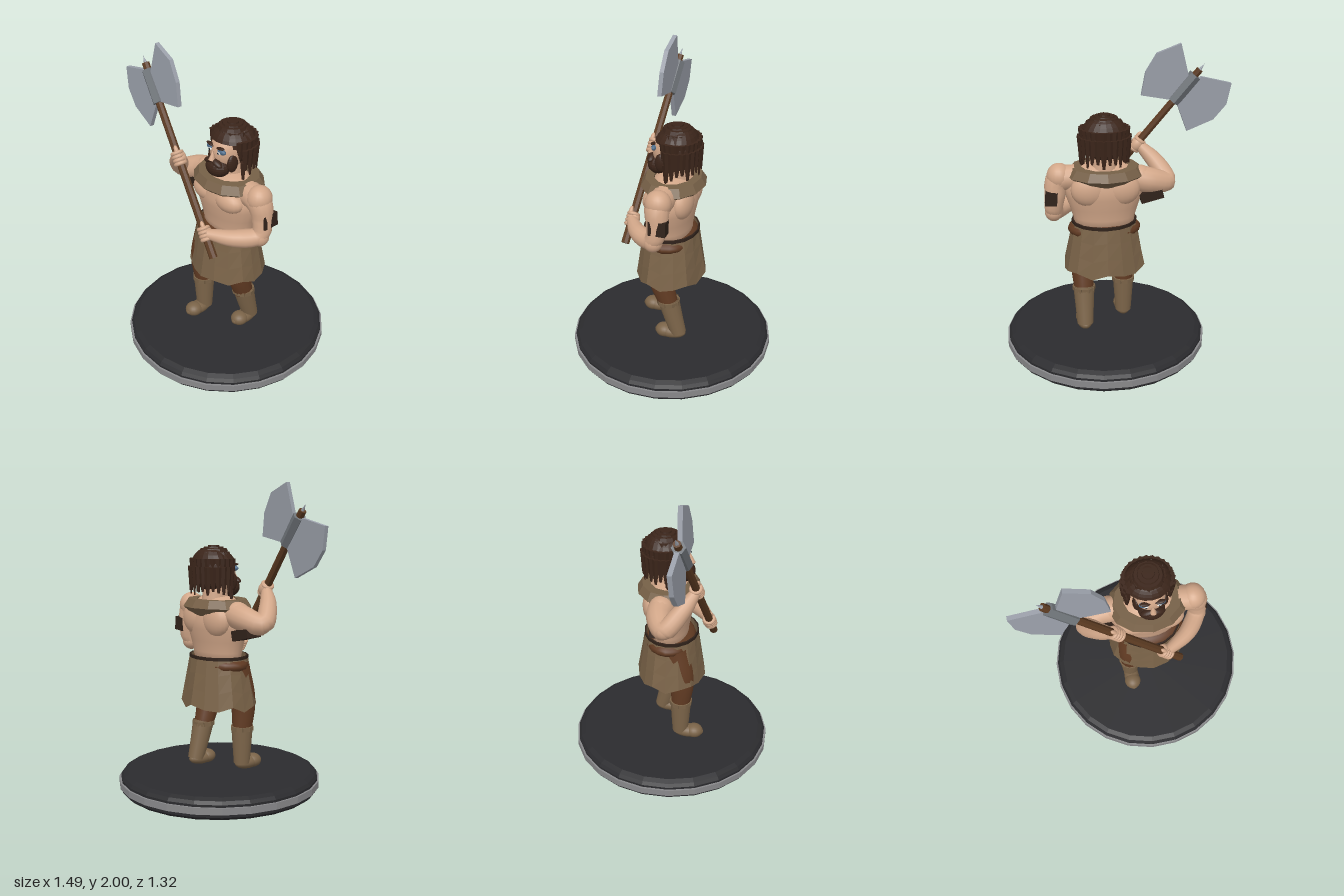
import * as THREE from 'three';

const V = (x, y, z) => new THREE.Vector3(x, y, z);
const CX = 0.085; // figure's centre line
const mat = (color, flatShading = false, side = THREE.FrontSide) =>
  new THREE.MeshStandardMaterial({ color, flatShading, side });

const skin = mat(0xd2a789), hairMat = mat(0x3b251a, true, THREE.DoubleSide);
const hide = mat(0x7a6348, true, THREE.DoubleSide), collarMat = mat(0x766047, true);
const bootMat = mat(0x7a6348, false, THREE.DoubleSide), trousers = mat(0x603a22);
const wood = mat(0x5c3b22, true), steel = mat(0x9ba0aa, true), iron = mat(0x70757a, true);
const darkLeather = mat(0x30221a, true), black = mat(0x2b2b2e, true), rim = mat(0x88888a, true);
const paint = mat(0x4d6b88), white = mat(0xe6e2da), dark = mat(0x17202a);

export function createModel() {
  const root = new THREE.Group();
  const add = (name, geo, material, pos, scale, parent = root) => {
    const m = new THREE.Mesh(geo, material);
    m.name = name;
    if (pos) m.position.set(...pos);
    if (scale) m.scale.set(...scale);
    parent.add(m);
    return m;
  };
  const ball = (name, material, pos, radii, parent) =>
    add(name, new THREE.SphereGeometry(1, 20, 14), material, pos, radii, parent);

  // Tube whose thickness follows a list of radii spread along its length
  const limb = (name, pts, radii, material) => {
    const curve = new THREE.CatmullRomCurve3(pts.map((p) => V(...p)));
    const seg = 20, sides = 14;
    const geo = new THREE.TubeGeometry(curve, seg, 1, sides);
    const pos = geo.attributes.position, v = V(0, 0, 0);
    for (let i = 0; i <= seg; i++) {
      const c = curve.getPointAt(i / seg);
      const t = (i / seg) * (radii.length - 1), k = Math.min(Math.floor(t), radii.length - 2);
      const r = THREE.MathUtils.lerp(radii[k], radii[k + 1], t - k);
      for (let j = 0; j <= sides; j++) {
        const n = i * (sides + 1) + j;
        v.fromBufferAttribute(pos, n).sub(c).multiplyScalar(r).add(c);
        pos.setXYZ(n, v.x, v.y, v.z);
      }
    }
    return add(name, geo, material);
  };
  const lathe = (name, profile, sides, material, pos, scale) =>
    add(name, new THREE.LatheGeometry(profile.map((p) => new THREE.Vector2(...p)), sides), material, pos, scale);

  // Round base with a grey rim band
  const base = lathe('base', [[0, 0], [0.63, 0], [0.652, 0.02], [0.655, 0.1], [0.64, 0.12], [0.61, 0.135], [0, 0.135]], 24, black, [0.08, 0, 0]);
  const band = lathe('baseRim', [[0.65, 0.042], [0.667, 0.042], [0.667, 0.085], [0.65, 0.085]], 24, rim, [0.08, 0, 0]);
  base.rotation.y = band.rotation.y = Math.PI / 24;

  // Legs and boots; the right leg stands a step ahead
  const leg = (side, x, hipZ, kneeZ, topZ, ankleZ) => {
    limb(side + 'TrouserLeg', [[CX + (x - CX) * 0.8, 0.82, hipZ], [x, 0.6, kneeZ], [x, 0.4, topZ]], [0.11, 0.085, 0.062], trousers);
    limb(side + 'BootShaft', [[x, 0.43, topZ], [x, 0.3, (topZ + ankleZ) / 2], [x, 0.18, ankleZ]], [0.071, 0.062, 0.053], bootMat);
    ball(side + 'BootFoot', bootMat, [x, 0.178, ankleZ + 0.055], [0.053, 0.043, 0.105]);
    ball(side + 'BootToe', bootMat, [x, 0.182, ankleZ + 0.095], [0.057, 0.046, 0.06]);
    for (let i = 0; i < 10; i++) {
      const a = (i / 10) * Math.PI * 2;
      const flap = add(side + 'BootCuff', new THREE.BoxGeometry(0.042, 0.028, 0.012), hide,
        [x + Math.sin(a) * 0.067, 0.418, topZ + Math.cos(a) * 0.067]);
      flap.rotation.y = a;
    }
  };
  leg('right', -0.053, 0.03, 0.09, 0.085, 0.083);
  leg('left', 0.225, 0, 0.03, -0.02, -0.087);
  ball('hips', trousers, [CX, 0.845, -0.005], [0.238, 0.075, 0.165]);

  // Hide skirt: open faceted cone with a ragged hem
  const skirtGeo = new THREE.CylinderGeometry(1, 1, 1, 16, 3, true);
  const sp = skirtGeo.attributes.position;
  for (let i = 0; i < sp.count; i++) {
    const t = 0.5 - sp.getY(i), a = Math.round(Math.atan2(sp.getX(i), sp.getZ(i)) * 8 / Math.PI + 16) % 16;
    const wave = Math.sin(a * 2.4 + 0.6) * t, front = a === 0 ? 0.02 * t : 0;
    sp.setXYZ(i, sp.getX(i) * (0.207 + 0.062 * t + 0.008 * wave), 0.905 - 0.33 * t + 0.022 * wave - front,
      sp.getZ(i) * (0.175 + 0.048 * t + 0.01 * wave));
  }
  skirtGeo.computeVertexNormals();
  add('skirt', skirtGeo, hide, [CX, 0, 0]);
  lathe('belt', [[0.2, 0.885], [0.212, 0.885], [0.212, 0.905], [0.2, 0.905]], 16, darkLeather, [CX, 0, 0], [1, 1, 0.85]);

  // Bare torso with chest and neck
  lathe('torso', [[0, 0.84], [0.19, 0.85], [0.2, 0.93], [0.22, 1.0], [0.248, 1.08], [0.25, 1.13], [0.235, 1.19], [0.2, 1.24], [0.13, 1.28], [0, 1.3]],
    24, skin, [CX, 0, -0.01], [1, 1, 0.62]);
  for (const s of [-1, 1]) {
    ball('chestMuscle', skin, [CX + s * 0.1, 1.135, 0.075], [0.115, 0.075, 0.075]);
    ball('backMuscle', skin, [CX + s * 0.1, 1.14, -0.1], [0.12, 0.11, 0.07]);
  }
  add('neck', new THREE.CylinderGeometry(0.072, 0.09, 0.16, 16), skin, [CX, 1.31, -0.03]);

  // Bevelled collar ring
  lathe('collar', [[0.175, 1.165], [0.252, 1.22], [0.215, 1.27], [0.15, 1.27], [0.15, 1.17], [0.175, 1.165]], 12, collarMat,
    [0.08, 0, -0.015], [1, 1, 0.82]);

  // Arms and armbands
  limb('leftArm', [[0.26, 1.2, -0.01], [0.375, 1.18, 0], [0.4, 1.07, -0.005], [0.405, 0.965, 0.02], [0.32, 0.95, 0.14], [0.17, 0.95, 0.24]],
    [0.08, 0.082, 0.066, 0.058, 0.06, 0.05, 0.033], skin);
  ball('leftShoulder', skin, [0.37, 1.205, -0.003], [0.08, 0.085, 0.083]);
  ball('leftElbow', skin, [0.408, 0.955, 0.02], [0.058, 0.062, 0.06]);
  limb('rightArm', [[-0.08, 1.19, -0.025], [-0.22, 1.16, -0.03], [-0.325, 1.135, 0.02], [-0.27, 1.23, 0.11], [-0.17, 1.33, 0.19]],
    [0.08, 0.085, 0.075, 0.062, 0.06, 0.05, 0.033], skin);
  ball('rightShoulder', skin, [-0.14, 1.18, -0.03], [0.09, 0.085, 0.08]);
  ball('rightElbow', skin, [-0.32, 1.135, 0.015], [0.062, 0.06, 0.06]);
  add('leftArmband', new THREE.BoxGeometry(0.075, 0.09, 0.11), darkLeather, [0.425, 1.075, -0.02]).rotation.z = 0.08;
  add('rightArmband', new THREE.BoxGeometry(0.15, 0.065, 0.11), darkLeather, [-0.215, 1.068, -0.025]).rotation.z = -0.25;

  // Axe shaft, spike and socket, all on one slanted axis
  const low = V(0.25, 0.82, 0.26), high = V(-0.545, 1.83, 0.132);
  const axis = high.clone().sub(low).normalize();
  const turn = new THREE.Quaternion().setFromUnitVectors(V(0, 1, 0), axis);
  const onShaft = (name, geo, material, t) => {
    const m = add(name, geo, material);
    m.position.lerpVectors(low, high, t);
    m.quaternion.copy(turn);
    return m;
  };
  onShaft('axeShaft', new THREE.CylinderGeometry(0.024, 0.027, low.distanceTo(high), 8), wood, 0.5);
  onShaft('axeSpike', new THREE.ConeGeometry(0.017, 0.07, 8), steel, 1.01);
  onShaft('axeSocket', new THREE.CylinderGeometry(0.043, 0.043, 0.22, 6), iron, 0.88);

  // Two fan-shaped blades, sheared to lie on the slanted axis
  const blades = {
    innerBlade: [[-0.48, 1.77], [-0.375, 1.635], [-0.175, 1.67], [-0.2, 1.82], [-0.27, 1.94], [-0.42, 2.0]],
    outerBlade: [[-0.52, 1.76], [-0.555, 1.785], [-0.75, 1.74], [-0.725, 1.6], [-0.645, 1.5], [-0.475, 1.425], [-0.405, 1.61]],
  };
  for (const [name, pts] of Object.entries(blades)) {
    const geo = new THREE.ExtrudeGeometry(new THREE.Shape(pts.map((p) => new THREE.Vector2(...p))), { depth: 0.028, bevelEnabled: false });
    const p = geo.attributes.position;
    for (let i = 0; i < p.count; i++)
      p.setZ(i, p.getZ(i) - 0.014 + 0.125 + 0.055 * (p.getX(i) + 0.75) - 0.05 * (p.getY(i) - 1.74));
    geo.computeVertexNormals();
    add(name, geo, steel);
  }

  // Fists: palm plus four fingers curled round the shaft
  for (const [name, t] of [['leftHand', 0.125], ['rightHand', 0.51]]) {
    const hand = new THREE.Group();
    hand.name = name;
    hand.position.lerpVectors(low, high, t);
    hand.quaternion.copy(turn);
    root.add(hand);
    ball('palm', skin, [0, 0, -0.015], [0.04, 0.05, 0.034], hand);
    for (let i = 0; i < 4; i++)
      add('finger', new THREE.TorusGeometry(0.031, 0.013, 8, 16), skin, [0, -0.036 + i * 0.023, 0], null, hand).rotation.x = Math.PI / 2;
    ball('thumb', skin, [0.025, 0.05, 0.015], [0.014, 0.03, 0.014], hand);
  }

  // Head and face
  ball('head', skin, [CX, 1.43, -0.005], [0.102, 0.13, 0.122]);
  add('nose', new THREE.ConeGeometry(0.022, 0.07, 8), skin, [CX, 1.435, 0.123]).rotation.x = -0.2;
  for (const s of [-1, 1]) {
    ball('facePaint', paint, [CX + s * 0.047, 1.462, 0.093], [0.036, 0.018, 0.018]);
    ball('eye', white, [CX + s * 0.04, 1.455, 0.106], [0.016, 0.011, 0.01]);
    ball('pupil', dark, [CX + s * 0.04, 1.455, 0.114], [0.006, 0.007, 0.005]);
    ball('brow', hairMat, [CX + s * 0.045, 1.485, 0.1], [0.034, 0.008, 0.015]).rotation.z = s * 0.15;
    ball('moustache', hairMat, [CX + s * 0.033, 1.388, 0.118], [0.046, 0.018, 0.025]).rotation.z = -s * 0.35;
    ball('sideburn', hairMat, [CX + s * 0.088, 1.38, 0.04], [0.022, 0.06, 0.04]);
  }
  ball('beard', hairMat, [CX, 1.34, 0.08], [0.085, 0.065, 0.07]);

  // Hair: back mass, cap, stepped crown and rings of hanging strands
  ball('hairBack', hairMat, [CX, 1.465, -0.07], [0.152, 0.14, 0.112]);
  add('hairCap', new THREE.SphereGeometry(1, 20, 8, 0, Math.PI * 2, 0, Math.PI * 0.36), hairMat, [CX, 1.45, -0.035], [0.162, 0.147, 0.143]);
  [0.095, 0.07, 0.04].forEach((r, i) =>
    add('hairCrown', new THREE.CylinderGeometry(r * 0.9, r, 0.02, 14), hairMat, [CX, 1.582 + i * 0.01, -0.04]));
  // Each ring: top height, radius, strand length, half angle left open at the face
  for (const [y, r, len, open] of [[1.57, 0.115, 0.09, 0], [1.53, 0.148, 0.14, 0.95], [1.48, 0.158, 0.13, 1.1], [1.43, 0.153, 0.11, 1.3]]) {
    for (let i = 0; i < 26; i++) {
      const a = (i + 0.5) / 26 * Math.PI * 2;
      if (Math.min(a, Math.PI * 2 - a) < open) continue;
      const l = len * (1 + 0.2 * Math.sin(i * 4.1 + y * 50));
      const strand = add('hairStrand', new THREE.CylinderGeometry(0.026, 0.008, l, 4), hairMat,
        [CX + Math.sin(a) * r, y - l / 2, -0.045 + Math.cos(a) * r * 0.9], [1, 1, 0.55]);
      strand.rotation.set(open ? 0 : -0.45, a, 0, 'YXZ');
    }
  }
  for (const s of [-1, 1])
    add('hairLock', new THREE.CylinderGeometry(0.024, 0.01, 0.13, 4), hairMat, [CX + s * 0.135, 1.325, -0.005]);

  return root;
}
